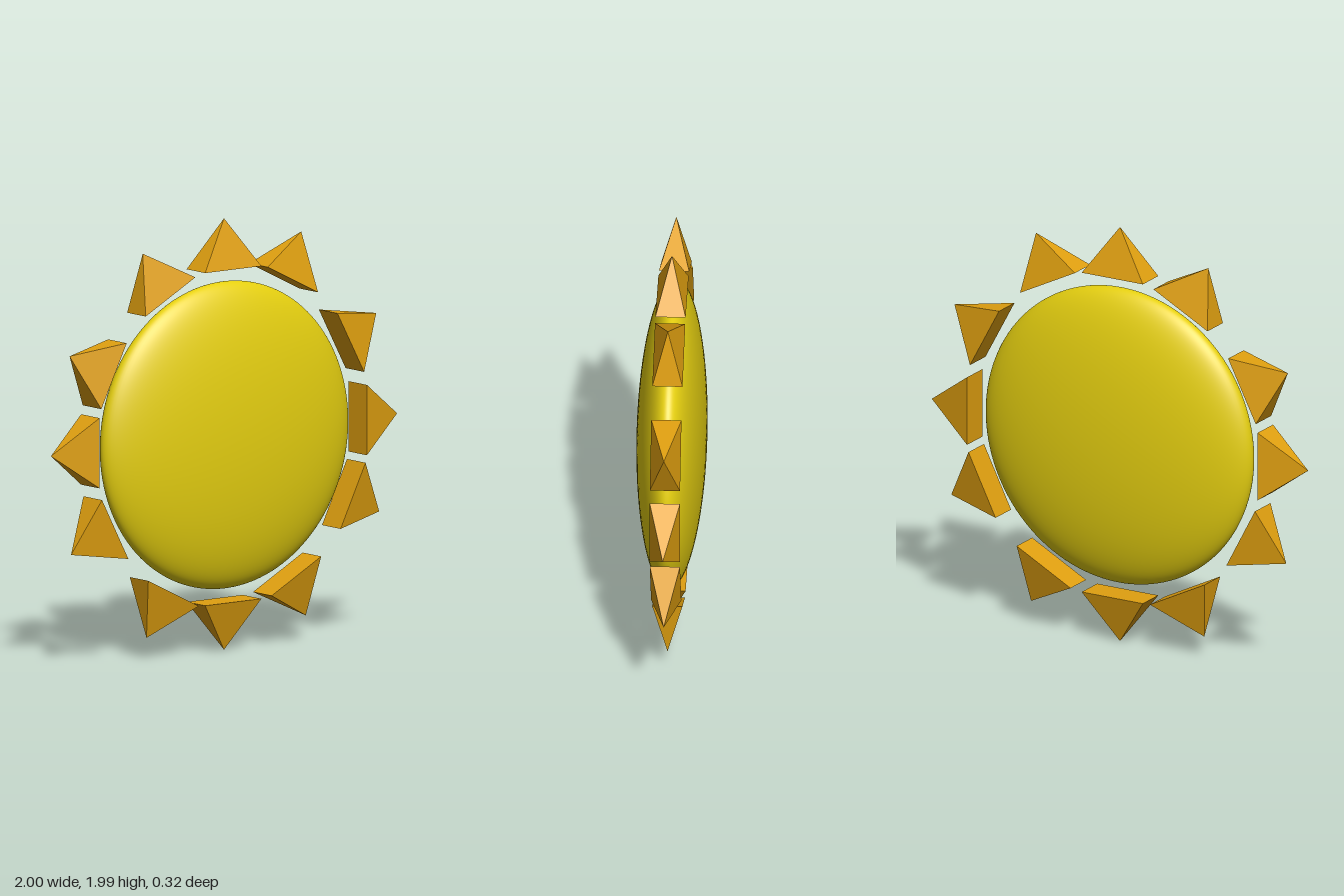
import * as THREE from 'three';

const CENTRE_Y = 1;
const RAY = { width: 0.325, height: 0.228, depth: 0.138, inner: 0.772 };
// ray directions in degrees, counter-clockwise from +x
const RAY_ANGLES = [0, 28.4, 63.5, 90, 118, 153.2, 180, 207.9, 243.4, 270, 298.2, 333.7];

export function createModel() {
  const sun = new THREE.Group();
  sun.name = 'sun';

  // flattened, smooth disc
  const disc = new THREE.Mesh(
    new THREE.SphereGeometry(1, 96, 64).scale(0.707, 0.709, 0.16),
    new THREE.MeshStandardMaterial({ color: 0xe6d010 })
  );
  disc.name = 'disc';
  disc.position.y = CENTRE_Y;
  sun.add(disc);

  // four-sided pyramid, base on the inner radius, tip pointing outward (+y before rotation)
  const pyramid = new THREE.ConeGeometry(Math.SQRT1_2, 1, 4)
    .rotateY(Math.PI / 4)
    .scale(RAY.width, RAY.height, RAY.depth)
    .translate(0, RAY.inner + RAY.height / 2, 0);
  const rayMaterial = new THREE.MeshStandardMaterial({ color: 0xe0a010, flatShading: true });

  const rays = new THREE.Group();
  rays.name = 'rays';
  rays.position.y = CENTRE_Y;
  RAY_ANGLES.forEach((angle, i) => {
    const ray = new THREE.Mesh(pyramid, rayMaterial);
    ray.name = `ray${i + 1}`;
    ray.rotation.z = THREE.MathUtils.degToRad(angle - 90);
    // the lowest ray sits slightly closer to the disc
    if (angle === 270) ray.position.y = 0.007;
    rays.add(ray);
  });
  sun.add(rays);

  return sun;
}
